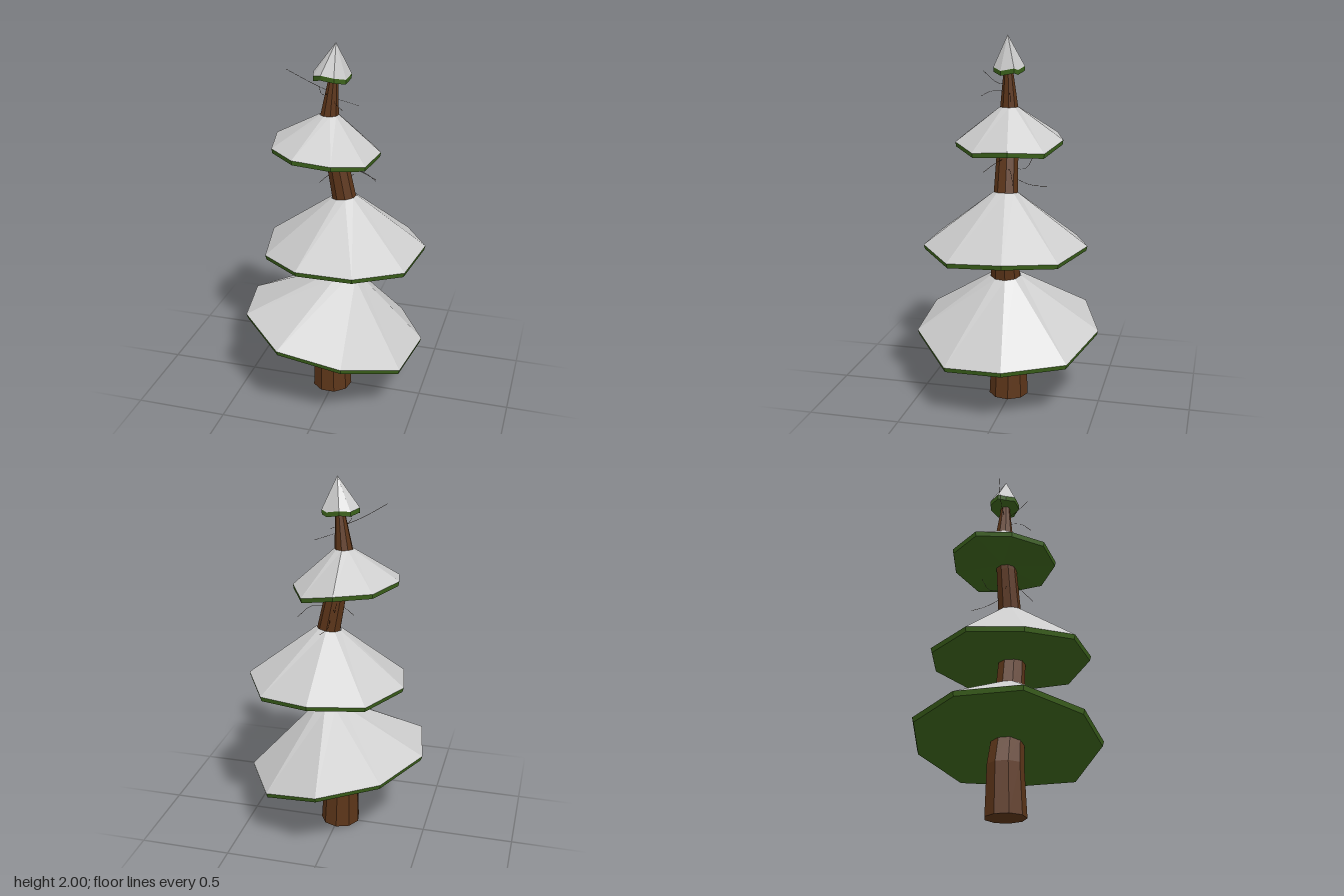
import * as THREE from 'three';

const SIDES = 9;
const mat = (color) => new THREE.MeshStandardMaterial({ color, flatShading: true });

// Level nine-sided ring; slope tilts it along x
function ring(x, y, z, r, slope = 0) {
  return Array.from({ length: SIDES }, (_, i) => {
    const a = -Math.PI / 2 + (i * 2 * Math.PI) / SIDES;
    const dx = r * Math.cos(a);
    return [x + dx, y + slope * dx, z + r * Math.sin(a)];
  });
}

// Skin a stack of rings, ordered from low to high
function loft(rings) {
  const pos = [];
  for (let k = 0; k < rings.length - 1; k++) {
    const b = rings[k], t = rings[k + 1];
    for (let i = 0; i < SIDES; i++) {
      const j = (i + 1) % SIDES;
      pos.push(...b[j], ...b[i], ...t[i], ...b[j], ...t[i], ...t[j]);
    }
  }
  const geo = new THREE.BufferGeometry();
  geo.setAttribute('position', new THREE.Float32BufferAttribute(pos, 3));
  geo.computeVertexNormals();
  return geo;
}

function addMesh(parent, name, geo, material) {
  const mesh = new THREE.Mesh(geo, material);
  mesh.name = name;
  parent.add(mesh);
}

// Each tier: top ring [x, y, z, radius, slope] and lower rim corners [x, y, z]
const TIERS = [
  { name: 'lowerTier', top: [0.06, 0.722, 0.015, 0.084, -0.12], rim: [
    [0, 0.39, -0.49], [0.31, 0.305, -0.37], [0.49, 0.305, -0.06],
    [0.435, 0.28, 0.26], [0.17, 0.375, 0.49], [-0.18, 0.43, 0.49],
    [-0.43, 0.495, 0.265], [-0.49, 0.488, -0.075], [-0.32, 0.45, -0.37]] },
  { name: 'middleTier', top: [0.055, 1.18, 0.015, 0.068, 0.12], rim: [
    [0.06, 0.885, -0.43], [0.34, 0.86, -0.325], [0.49, 0.88, -0.065],
    [0.44, 0.855, 0.235], [0.21, 0.88, 0.43], [-0.09, 0.88, 0.43],
    [-0.32, 0.855, 0.235], [-0.375, 0.88, -0.065], [-0.225, 0.865, -0.325]] },
  { name: 'upperTier', top: [-0.025, 1.625, 0.015, 0.05, 0], rim: [
    [-0.04, 1.43, -0.275], [0.145, 1.385, -0.21], [0.24, 1.4, -0.035],
    [0.205, 1.385, 0.16], [0.06, 1.415, 0.29], [-0.145, 1.43, 0.29],
    [-0.295, 1.435, 0.16], [-0.33, 1.46, -0.035], [-0.23, 1.44, -0.21]] },
  { name: 'treeTip', top: [0.01, 2, 0.015, 0.001, 0], rim: [
    [-0.02, 1.815, -0.07], [0.05, 1.8, -0.05], [0.08, 1.81, -0.035],
    [0.07, 1.795, 0.04], [0.02, 1.81, 0.09], [-0.05, 1.82, 0.09],
    [-0.1, 1.805, 0.055], [-0.11, 1.82, 0.01], [-0.075, 1.81, -0.05]] },
];

// Bent trunk sections: x, y, radius
const TRUNK = [
  [-0.01, 0, 0.11], [-0.015, 0.27, 0.098], [0.02, 0.42, 0.088],
  [0.062, 0.72, 0.08], [0.09, 0.88, 0.075], [0.055, 1.18, 0.065],
  [0.012, 1.4, 0.058], [-0.025, 1.62, 0.049], [0, 1.86, 0.02],
];

// Hair-thin twigs: start, middle, end
const TWIGS = [
  [[-0.01, 1.74, 0.015], [-0.12, 1.79, 0.03], [-0.24, 1.86, 0.065]],
  [[0, 1.71, 0.01], [0.06, 1.69, -0.01], [0.12, 1.67, -0.025]],
  [[-0.01, 1.74, 0.02], [-0.04, 1.75, 0.09], [-0.035, 1.81, 0.16]],
  [[0, 1.71, 0.02], [0.03, 1.71, 0.1], [0.08, 1.69, 0.14]],
  [[0.03, 1.36, 0.02], [0.13, 1.35, 0.05], [0.245, 1.32, 0.09]],
  [[0.04, 1.3, 0.01], [0.14, 1.31, -0.03], [0.21, 1.25, -0.06]],
  [[0.03, 1.31, 0], [0, 1.3, -0.08], [-0.02, 1.37, -0.12]],
  [[0.04, 1.27, 0], [0.03, 1.22, -0.11], [0.05, 1.22, -0.21]],
  [[0.03, 1.32, 0.01], [-0.03, 1.29, 0.03], [-0.075, 1.25, 0.04]],
];

export function createModel() {
  const tree = new THREE.Group();
  tree.name = 'snowyTree';
  const bark = mat(0x5c3519), snow = mat(0xcccccc), needles = mat(0x3d641c);
  const twigMat = mat(0x33200f);

  // Trunk with closed base
  const sections = TRUNK.map(([x, y, r]) => ring(x, y, 0.015, r));
  addMesh(tree, 'trunk', loft([ring(-0.01, 0, 0.015, 0), ...sections]), bark);

  // Snow cones over thin green undersides
  for (const { name, top, rim } of TIERS) {
    const tier = new THREE.Group();
    tier.name = name;
    const c = [0, 1, 2].map((k) => rim.reduce((s, p) => s + p[k], 0) / SIDES);
    const edge = rim.map(([x, y, z]) => [x, y + 0.025, z]);
    const lower = rim.map(([x, y, z]) =>
      [c[0] + (x - c[0]) * 0.985, y, c[2] + (z - c[2]) * 0.985]);
    addMesh(tier, 'snow', loft([edge, ring(...top)]), snow);
    addMesh(tier, 'greenUnderside', loft([rim.map(() => c), lower, edge]), needles);
    tree.add(tier);
  }

  // Twigs between the tiers
  const twigs = new THREE.Group();
  twigs.name = 'twigs';
  for (const points of TWIGS) {
    const curve = new THREE.CatmullRomCurve3(points.map((p) => new THREE.Vector3(...p)));
    addMesh(twigs, 'twig', new THREE.TubeGeometry(curve, 6, 0.0012, 3), twigMat);
  }
  tree.add(twigs);
  return tree;
}
